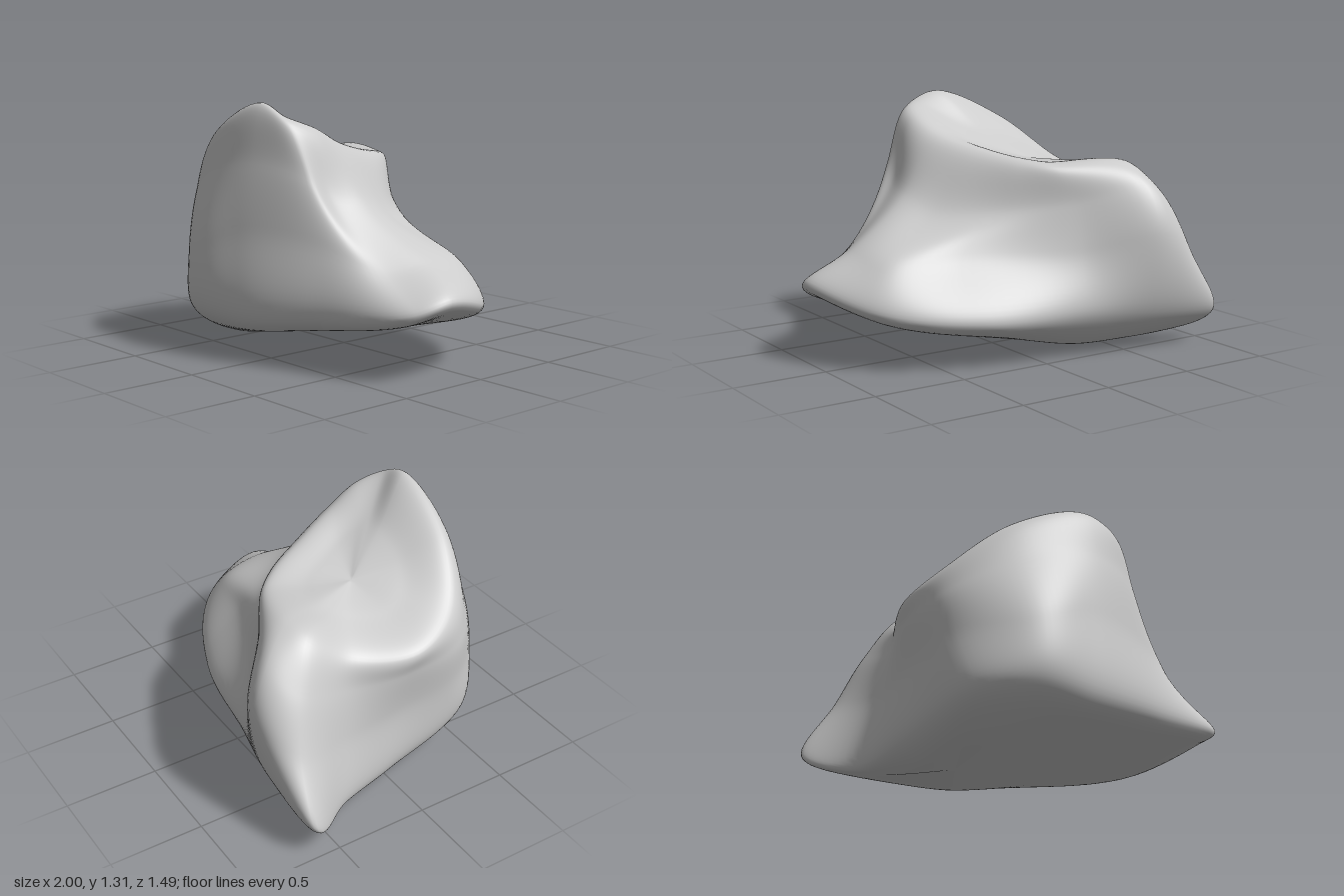
import * as THREE from 'three';
import { mergeVertices } from 'three/addons/utils/BufferGeometryUtils.js';

const V = (p) => new THREE.Vector3(...p);

// Four outlines round the boulder, from the +x spur through front, left and back
const EDGE = [ // widest outline, just above the underside
  [1, .4, .2], [.9, .34, .38], [.4, .27, .55], [0, .22, .67], [-.35, .23, .7], [-.62, .2, .52], [-.73, .1, 0],
  [-.8, .07, -.33], [-1, .18, -.64], [-.6, .22, -.65], [-.18, .25, -.58], [.36, .25, -.47], [.81, .3, -.22],
].map(V);
const WAIST = [ // half-way up the flanks
  [.76, .57, .14], [.67, .54, .35], [.38, .66, .535], [-.02, .68, .69], [-.36, .55, .725], [-.69, .5, .44], [-.74, .46, .02],
  [-.75, .43, -.3], [-.84, .5, -.62], [-.58, .65, -.735], [-.2, .56, -.52], [.35, .55, -.26], [.72, .53, -.14],
].map(V);
const SHOULDER = [ // concave below the crest on the spur side
  [.42, .81, .2], [.38, .84, .4], [.32, .96, .53], [0, 1.02, .645], [-.4, .9, .62], [-.71, .73, .42], [-.77, .69, .06],
  [-.71, .68, -.25], [-.72, .77, -.55], [-.55, .88, -.65], [-.2, .8, -.47], [.1, .76, -.27], [.36, .74, -.01],
].map(V);
const RIM = [ // crest around the sloping top face
  [.21, 1.11, .22], [.24, 1.19, .4], [.18, 1.25, .54], [0, 1.315, .56], [-.4, 1.15, .52], [-.68, .91, .36], [-.78, .81, .1],
  [-.67, .83, -.22], [-.58, .98, -.42], [-.45, 1.01, -.47], [-.13, .99, -.39], [0, 1.01, -.25], [.11, 1.05, -.02],
].map(V);

const BOTTOM = V([-.4, .02, -.05]);
const TOP = V([-.27, .98, .04]);

function boulderGeometry(around, up) {
  // Underside ring rises towards the spur and the front
  const base = EDGE.map((p) => {
    const q = p.clone().lerp(BOTTOM, .35);
    const front = -.02 + .26 * q.x + .38 * q.z;
    const back = .01 + .2 * Math.max(0, q.x + .3) + .15 * Math.max(0, -q.z - .2, q.z);
    q.y = Math.max(front, back);
    return q;
  });
  // Inner top ring: the crest, evened out and shrunk towards the top point
  const n = RIM.length;
  const inner = RIM.map((p, i) => {
    const q = p.clone().lerp(TOP, .5);
    q.y = (2 * p.y + RIM[(i + 1) % n].y + RIM[(i + n - 1) % n].y) / 8 + TOP.y / 2;
    return q;
  });
  const rings = [base, EDGE, WAIST, SHOULDER, RIM, inner]
    .map((r) => new THREE.CatmullRomCurve3(r, true, 'centripetal'));

  const positions = [];
  const index = [];
  const row = up + 1;
  for (let i = 0; i < around; i++) {
    const rib = new THREE.CatmullRomCurve3(
      [BOTTOM, ...rings.map((r) => r.getPoint(i / around)), TOP], false, 'centripetal');
    for (let j = 0; j <= up; j++) positions.push(...rib.getPoint(j / up).toArray());
    for (let j = 0; j < up; j++) {
      const a = i * row + j;
      const b = ((i + 1) % around) * row + j;
      if (j < up - 1) index.push(a, a + 1, b + 1);
      if (j > 0) index.push(a, b + 1, b);
    }
  }
  let geometry = new THREE.BufferGeometry();
  geometry.setAttribute('position', new THREE.Float32BufferAttribute(positions, 3));
  geometry.setIndex(index);
  geometry = mergeVertices(geometry, 1e-5);
  geometry.computeBoundingBox();
  geometry.translate(0, -geometry.boundingBox.min.y, 0); // rest on the floor
  geometry.computeVertexNormals();
  return geometry;
}

export function createModel() {
  const group = new THREE.Group();
  group.name = 'rock';
  const boulder = new THREE.Mesh(
    boulderGeometry(130, 84),
    new THREE.MeshStandardMaterial({ color: 0xcccccc }));
  boulder.name = 'boulder';
  group.add(boulder);
  return group;
}
